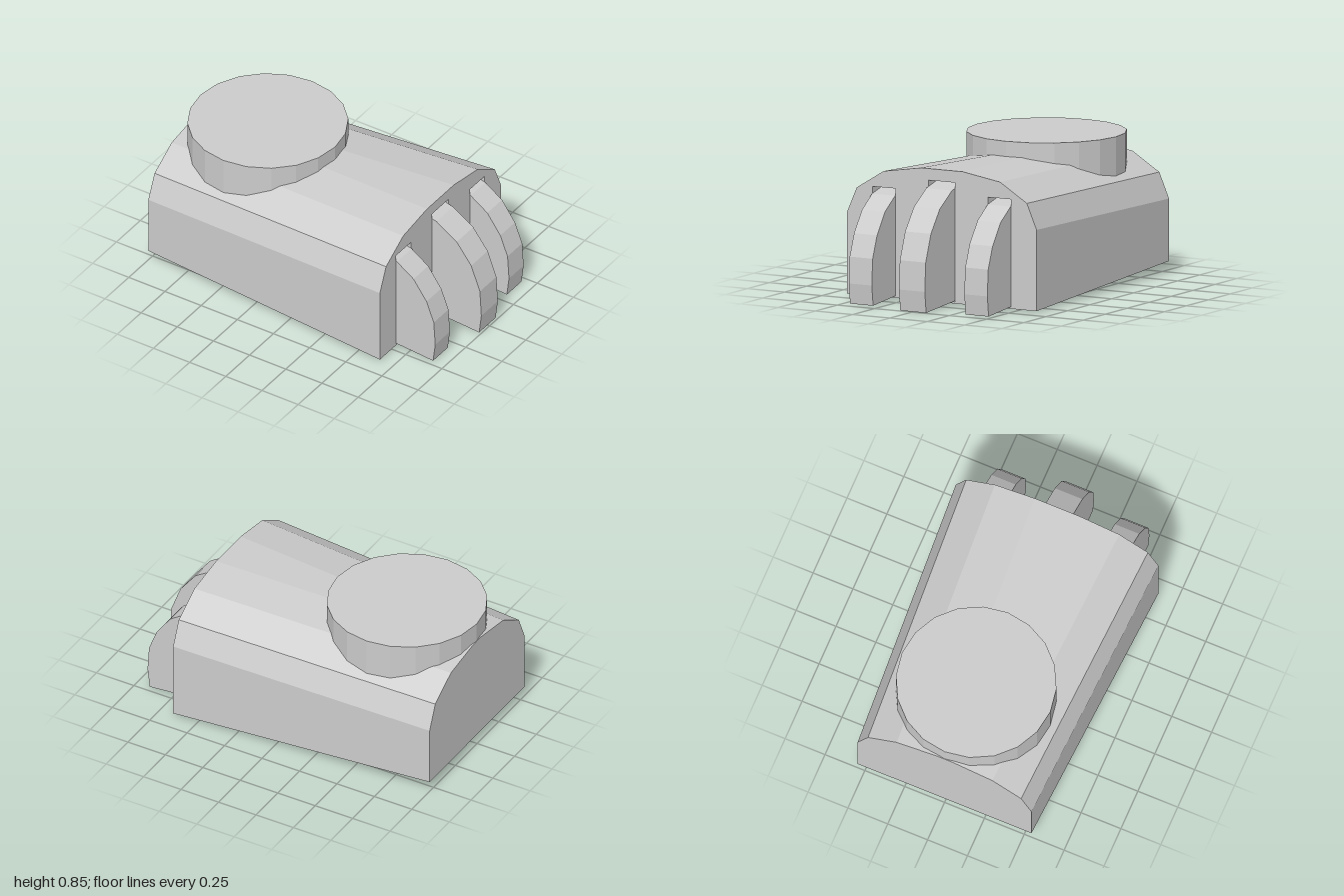
import * as THREE from 'three';

const FRONT_X = 0.66, BACK_X = -1;

// Mirror a half cross-section of [z, y] points into a closed outline
const half = [[0.635, 0.015], [0.635, 0.49], [0.57, 0.64], [0.39, 0.75], [0.14, 0.79]];
const frontSection = [...half, ...half.map(([z, y]) => [-z, y]).reverse()];
// The rear end is inset evenly on every side
const backSection = frontSection.map(([z, y]) =>
  [z - Math.sign(z) * 0.09, y + (y < 0.1 ? 0.055 : -0.055)]);

const toShape = (points) => new THREE.Shape(points.map(([a, b]) => new THREE.Vector2(a, b)));

// Faceted skin between the two end sections
function skinGeometry() {
  const pos = [];
  const n = frontSection.length;
  for (let i = 0; i < n; i++) {
    const j = (i + 1) % n;
    const at = (x, [z, y]) => [x, y, z];
    const a = at(BACK_X, backSection[i]), b = at(FRONT_X, frontSection[i]);
    const c = at(FRONT_X, frontSection[j]), d = at(BACK_X, backSection[j]);
    pos.push(...a, ...b, ...c, ...a, ...c, ...d);
  }
  const geo = new THREE.BufferGeometry();
  geo.setAttribute('position', new THREE.Float32BufferAttribute(pos, 3));
  geo.computeVertexNormals();
  return geo;
}

// Curved fin profiles in x, y
const middleProfile = [[0.985, 0.005], [1, 0.13], [0.99, 0.3], [0.93, 0.46],
  [0.83, 0.59], [0.69, 0.68], [0.52, 0.72], [0.52, 0.04]];
const outerProfile = [[0.915, 0.005], [0.93, 0.125], [0.92, 0.28], [0.87, 0.41],
  [0.78, 0.535], [0.665, 0.613], [0.51, 0.65], [0.51, 0.04]];

const fins = [
  { name: 'middleFin', z: 0, width: 0.175, top: 0.722, profile: middleProfile },
  { name: 'leftFin', z: 0.387, width: 0.156, top: 0.655, profile: outerProfile },
  { name: 'rightFin', z: -0.387, width: 0.156, top: 0.655, profile: outerProfile },
];
const SLOT_BOTTOM = 0.025, SLOT_DEPTH = 0.16;

export function createModel() {
  const model = new THREE.Group();
  model.name = 'finnedHousing';
  const material = new THREE.MeshStandardMaterial({ color: 0xcccccc, flatShading: true });
  const inner = new THREE.MeshStandardMaterial({
    color: 0xcccccc, flatShading: true, side: THREE.DoubleSide });
  const add = (name, geometry, mat = material) => {
    const mesh = new THREE.Mesh(geometry, mat);
    mesh.name = name;
    model.add(mesh);
    return mesh;
  };

  // Tapered body with a plain rear end
  add('body', skinGeometry());
  add('rearEnd', new THREE.ShapeGeometry(toShape(backSection)).rotateY(-Math.PI / 2))
    .position.x = BACK_X;

  // Slotted end face
  const face = toShape(frontSection);
  for (const { z, width, top } of fins) {
    const l = -z - width / 2, r = -z + width / 2;
    face.holes.push(new THREE.Path([[l, SLOT_BOTTOM], [l, top], [r, top], [r, SLOT_BOTTOM]]
      .map(([a, b]) => new THREE.Vector2(a, b))));
  }
  add('slottedEnd', new THREE.ShapeGeometry(face).rotateY(Math.PI / 2)).position.x = FRONT_X;

  // Slots and the curved fins standing in them
  for (const { name, z, width, top, profile } of fins) {
    const slot = new THREE.BoxGeometry(SLOT_DEPTH, top - SLOT_BOTTOM, width);
    slot.setIndex(Array.from(slot.index.array).slice(6)); // leave the outer side open
    slot.clearGroups();
    add(name + 'Slot', slot, inner)
      .position.set(FRONT_X - SLOT_DEPTH / 2, (top + SLOT_BOTTOM) / 2, z);

    const fin = new THREE.ExtrudeGeometry(toShape(profile),
      { depth: width - 0.002, bevelEnabled: false });
    add(name, fin).position.z = z - width / 2 + 0.001;
  }

  // Round cap sunk into the top
  add('roundCap', new THREE.CylinderGeometry(0.465, 0.465, 0.355, 20))
    .position.set(-0.533, 0.6775, 0);

  return model;
}
